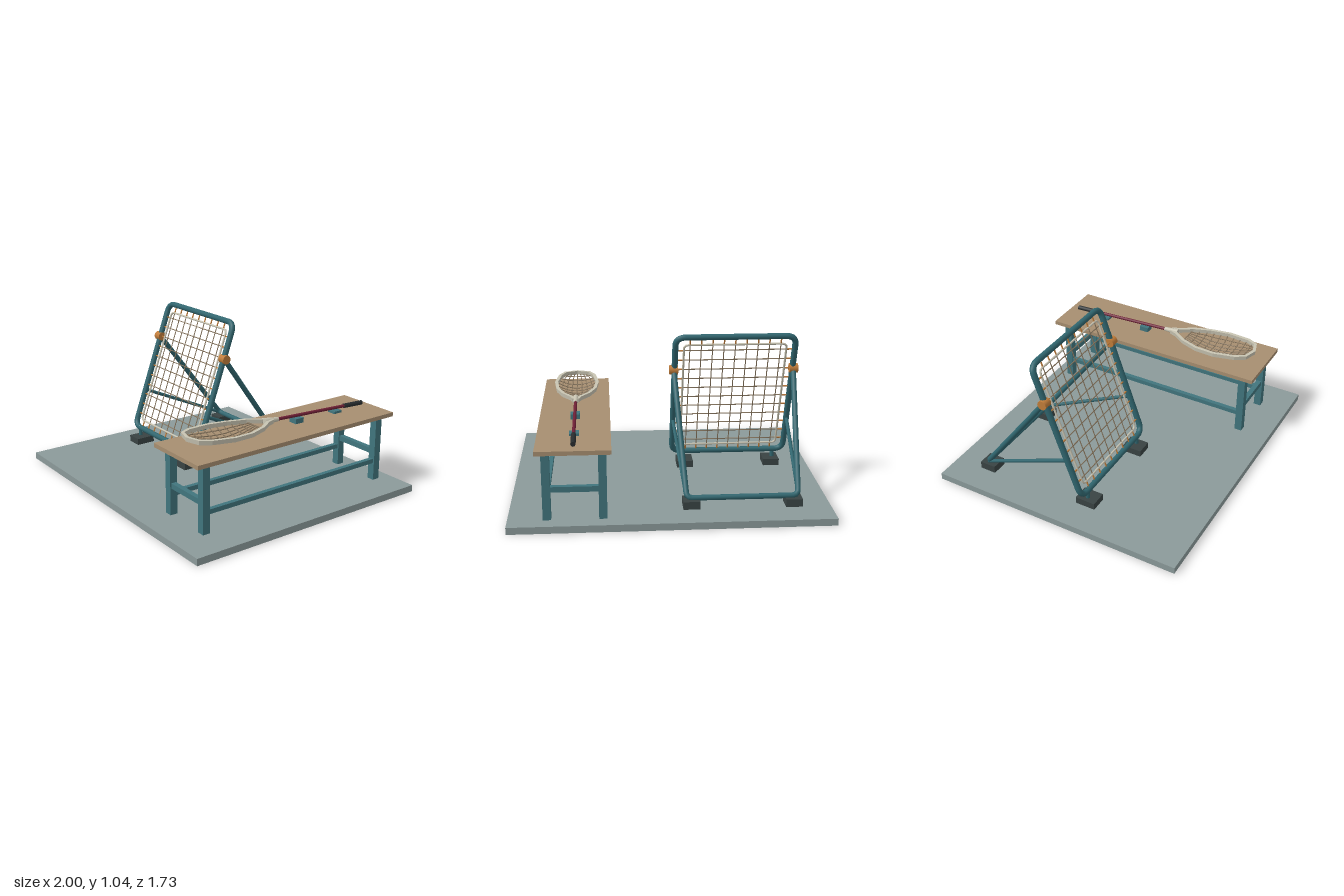
import * as THREE from 'three';

const mat = (name, color) => {
  const m = new THREE.MeshStandardMaterial({ color });
  m.name = name;
  return m;
};
const V = (x, y, z) => new THREE.Vector3(x, y, z);

export function createModel() {
  const root = new THREE.Group();
  root.name = 'trainingCorner';
  const slab = mat('slab grey', 0x8b9a9a), wood = mat('wood', 0xa78e70);
  const teal = mat('bench teal', 0x41757d), frameTeal = mat('frame teal', 0x30666f);
  const rubber = mat('rubber', 0x394343), orange = mat('orange', 0xc17d3a);
  const cream = mat('cream', 0xc8c4b2), cord = mat('cord', 0x8a7860);
  const red = mat('dark red', 0x702036), gripBlack = mat('grip black', 0x282d2f);

  const add = (parent, name, geo, m) => {
    const mesh = new THREE.Mesh(geo, m);
    mesh.name = name;
    parent.add(mesh);
    return mesh;
  };
  // box given by its limits on each axis
  const box = (parent, name, m, x0, x1, y0, y1, z0, z1) =>
    add(parent, name, new THREE.BoxGeometry(x1 - x0, y1 - y0, z1 - z0), m)
      .position.set((x0 + x1) / 2, (y0 + y1) / 2, (z0 + z1) / 2);
  // round bar between two points, r0 at a and r1 at b
  const rod = (parent, name, m, a, b, r0, r1 = r0, sides = 8) => {
    const d = b.clone().sub(a);
    const mesh = add(parent, name, new THREE.CylinderGeometry(r1, r0, d.length(), sides), m);
    mesh.position.copy(a).add(b).multiplyScalar(0.5);
    mesh.quaternion.setFromUnitVectors(V(0, 1, 0), d.normalize());
    return mesh;
  };
  // tube through corner points with rounded bends
  const bentTube = (parent, name, m, pts, bend, r, closed, segs = 120) => {
    const path = new THREE.CurvePath(), n = pts.length, toward = (a, b) =>
      a.clone().add(b.clone().sub(a).setLength(bend));
    let prev = closed ? toward(pts[0], pts[1]) : pts[0], first = prev;
    for (let i = 1; i < (closed ? n + 1 : n - 1); i++) {
      const c = pts[i % n], enter = toward(c, pts[i - 1]), leave = toward(c, pts[(i + 1) % n]);
      path.add(new THREE.LineCurve3(prev, enter));
      path.add(new THREE.QuadraticBezierCurve3(enter, c, leave));
      prev = leave;
    }
    if (!closed) path.add(new THREE.LineCurve3(prev, pts[n - 1]));
    else path.add(new THREE.LineCurve3(prev, first.clone().add(V(0, 1e-5, 0))));
    return add(parent, name, new THREE.TubeGeometry(path, segs, r, 10, false), m);
  };
  const rect = (w, h) => [V(-w, -h, 0), V(w, -h, 0), V(w, h, 0), V(-w, h, 0)];

  box(root, 'floorSlab', slab, -1, 1, 0, 0.045, -0.865, 0.865);

  // Bench
  const bench = new THREE.Group();
  bench.name = 'bench';
  root.add(bench);
  box(bench, 'benchTop', wood, 0.365, 0.82, 0.48, 0.507, -0.835, 0.73);
  for (const z of [-0.745, 0.645]) {
    for (const x of [0.42, 0.76])
      box(bench, 'benchLeg', teal, x - 0.025, x + 0.025, 0.045, 0.48, z - 0.025, z + 0.025);
    box(bench, 'endRail', teal, 0.445, 0.735, 0.22, 0.255, z - 0.017, z + 0.017);
  }
  for (const x of [0.42, 0.76])
    box(bench, 'sideRail', teal, x - 0.015, x + 0.015, 0.162, 0.192, -0.72, 0.62);
  box(bench, 'frontRest', teal, 0.56, 0.62, 0.507, 0.54, -0.235, -0.17);
  box(bench, 'rearRest', teal, 0.56, 0.62, 0.507, 0.522, -0.565, -0.5);

  // Rebounder: tilted frame with a sprung net
  const cx = -0.448, tilt = Math.PI / 9;
  const panel = new THREE.Group();
  panel.name = 'rebounderPanel';
  panel.position.set(cx, 0.585, -0.035);
  panel.rotation.x = -tilt;
  root.add(panel);
  const W = 0.388, H = 0.468, w = 0.332, h = 0.41;
  bentTube(panel, 'panelFrame', frameTeal, rect(W, H), 0.065, 0.02, true, 160);
  bentTube(panel, 'netBorder', cream, rect(w, h), 0.03, 0.007, true, 160);
  for (let i = -4; i <= 4; i++) {
    const x = i * 0.0735;
    rod(panel, 'netCordUpright', cord, V(x, -h, 0), V(x, h, 0), 0.0035, 0.0035, 6);
    for (const s of [-1, 1])
      rod(panel, 'endSpring', orange, V(x, s * h, 0), V(x, s * (H - 0.01), 0), 0.005, 0.005, 6);
  }
  for (let i = -5; i <= 5; i++) {
    const y = i * 0.0735;
    rod(panel, 'netCordAcross', cord, V(-w, y, 0), V(w, y, 0), 0.0035, 0.0035, 6);
    for (const s of [-1, 1])
      rod(panel, 'sideSpring', orange, V(s * w, y, 0), V(s * (W - 0.01), y, 0), 0.005, 0.005, 6);
  }

  // Rebounder stand
  const stand = new THREE.Group();
  stand.name = 'rebounderStand';
  stand.position.x = cx;
  root.add(stand);
  bentTube(stand, 'rearLegs', frameTeal, [V(-0.393, 0.79, -0.11), V(-0.35, 0.105, -0.625),
    V(0.35, 0.105, -0.625), V(0.393, 0.79, -0.11)], 0.04, 0.018, false);
  for (const s of [-1, 1]) {
    const span = (a, b) => [Math.min(s * a, s * b), Math.max(s * a, s * b)];
    rod(stand, 'pivotKnob', orange, V(s * 0.366, 0.79, -0.11), V(s * 0.422, 0.79, -0.11), 0.031, 0.031, 16);
    rod(stand, 'brace', frameTeal, V(s * 0.388, 0.4, 0.02), V(s * 0.352, 0.11, -0.615), 0.012);
    rod(stand, 'frontPost', frameTeal, V(s * 0.315, 0.085, 0.127), V(s * 0.315, 0.15, 0.127), 0.014);
    box(stand, 'frontFoot', rubber, ...span(0.245, 0.355), 0.045, 0.09, 0.06, 0.195);
    box(stand, 'rearFoot', rubber, ...span(0.268, 0.373), 0.045, 0.095, -0.67, -0.56);
  }

  // Netted stick lying on the bench
  const stick = new THREE.Group();
  stick.name = 'nettedStick';
  stick.position.x = 0.59;
  root.add(stick);
  const shaftY = z => 0.562 + 0.046 * z;
  const along = (name, m, z0, z1, r0, r1) =>
    rod(stick, name, m, V(0, shaftY(z0), z0), V(0, shaftY(z1), z1), r0, r1);
  along('grip', gripBlack, -0.77, -0.61, 0.016, 0.016);
  along('shaft', red, -0.62, -0.03, 0.011, 0.011);
  along('throat', cream, -0.045, 0.06, 0.015, 0.021);

  // Head rim: rectangular section swept round the outline (half width, z)
  const half = [[0.014, 0.01], [0.03, 0.06], [0.085, 0.14], [0.128, 0.26], [0.143, 0.4],
    [0.12, 0.55], [0.085, 0.615], [0.0, 0.642]];
  const rimY = z => 0.56 + 0.02 * Math.max(0, (z - 0.3) / 0.35);
  const loop = [...half, ...half.slice(0, -1).reverse().map(([x, z]) => [-x, z])];
  const pos = [], idx = [], n = loop.length;
  loop.forEach(([x, z], i) => {
    const a = loop[(i + n - 1) % n], b = loop[(i + 1) % n];
    const len = Math.hypot(b[0] - a[0], b[1] - a[1]);
    const nx = (b[1] - a[1]) / len, nz = -(b[0] - a[0]) / len;
    for (const [o, u] of [[0.008, -0.014], [0.011, 0.014], [-0.011, 0.014], [-0.008, -0.014]])
      pos.push(x + nx * o, rimY(z) + u, z + nz * o);
    for (let k = 0; k < 4; k++) {
      const p = i * 4 + k, q = i * 4 + (k + 1) % 4, j = ((i + 1) % n) * 4;
      const r = j + (k + 1) % 4, t = j + k;
      idx.push(p, q, r, p, r, t);
    }
  });
  const rim = new THREE.BufferGeometry();
  rim.setAttribute('position', new THREE.Float32BufferAttribute(pos, 3));
  rim.setIndex(idx);
  const flatRim = rim.toNonIndexed();
  flatRim.computeVertexNormals();
  add(stick, 'headRim', flatRim, cream);

  // Sagging pocket strings
  const halfWidth = z => {
    const i = Math.max(1, half.findIndex(p => p[1] >= z));
    const [a, b] = [half[i - 1], half[i]];
    return a[0] + (b[0] - a[0]) * (z - a[1]) / (b[1] - a[1]);
  };
  const pocket = (f, z) => V(f * halfWidth(z),
    rimY(z) - 0.005 - 0.045 * Math.sin(Math.PI * (z - 0.13) / 0.485) * (1 - f * f), z);
  const string = (name, fn) => {
    const pts = Array.from({ length: 9 }, (_, i) => fn(i / 8));
    add(stick, name, new THREE.TubeGeometry(new THREE.CatmullRomCurve3(pts), 16, 0.0035, 5), cord);
  };
  for (let i = 0; i < 10; i++)
    string('pocketCross', t => pocket(2 * t - 1, 0.135 + i * 0.05));
  for (let i = -3; i <= 3; i++)
    string('pocketLong', t => pocket(i * 0.25, 0.13 + 0.485 * t));

  return root;
}
